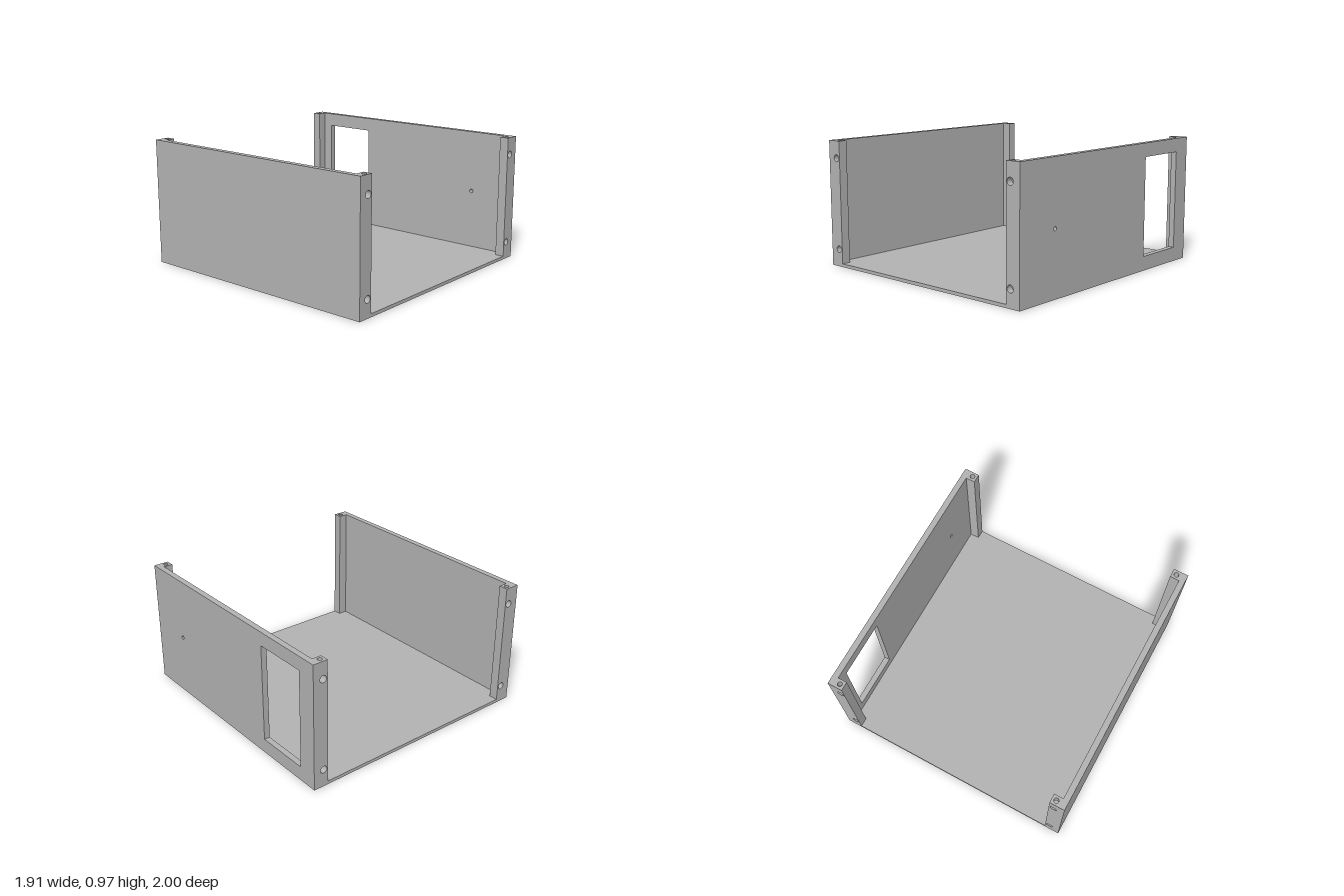
import * as THREE from 'three';
import { mergeGeometries } from 'three/addons/utils/BufferGeometryUtils.js';

const H = 0.97;            // overall height
const X_OUT = 0.955;       // outer face of the side walls
const X_IN = 0.91;         // inner face of the side walls
const X_POST = 0.838;      // inner face of the corner posts
const POST_D = 0.07;       // post depth along z
const FLOOR_T = 0.025;

// Rectangle shape or hole outline from two corners
function rect(Type, x0, y0, x1, y1) {
  const p = new Type();
  p.moveTo(x0, y0).lineTo(x1, y0).lineTo(x1, y1).lineTo(x0, y1).closePath();
  return p;
}

function circle(x, y, r) {
  return new THREE.Path().absarc(x, y, r, 0, Math.PI * 2, true);
}

// Flat face facing +z with blind bores [x, y, radius, depth] sunk into it
function drilledFace(w, h, bores) {
  const shape = rect(THREE.Shape, -w / 2, -h / 2, w / 2, h / 2);
  const parts = [];
  for (const [x, y, r, depth] of bores) {
    shape.holes.push(circle(x, y, r));
    parts.push(
      new THREE.CylinderGeometry(r, r, depth, 24, 1, true).rotateX(Math.PI / 2).translate(x, y, -depth / 2),
      new THREE.CircleGeometry(r, 24).translate(x, y, -depth)
    );
  }
  return mergeGeometries([new THREE.ShapeGeometry(shape, 12), ...parts]);
}

// Corner post with screw bores in its outer end, top and bottom
function postGeometry() {
  const w = X_IN - X_POST;
  const end = [[0, 0.838 - H / 2, 0.027, 0.05], [0, 0.135 - H / 2, 0.027, 0.05]];
  const cap = [[0, 0, 0.018, 0.08]];
  return mergeGeometries([
    drilledFace(w, H, end).translate(0, 0, POST_D / 2),
    drilledFace(w, H, []).rotateY(Math.PI).translate(0, 0, -POST_D / 2),
    drilledFace(POST_D, H, []).rotateY(Math.PI / 2).translate(w / 2, 0, 0),
    drilledFace(POST_D, H, []).rotateY(-Math.PI / 2).translate(-w / 2, 0, 0),
    drilledFace(w, POST_D, cap).rotateX(-Math.PI / 2).translate(0, H / 2, 0),
    drilledFace(w, POST_D, cap).rotateX(Math.PI / 2).translate(0, -H / 2, 0),
  ]);
}

// Side wall from x = 0 outwards; shape x runs along -z
function wallGeometry(holes) {
  const shape = rect(THREE.Shape, -1, 0, 1, H);
  shape.holes.push(...holes);
  return new THREE.ExtrudeGeometry(shape, { depth: X_OUT - X_IN, bevelEnabled: false, curveSegments: 12 })
    .rotateY(Math.PI / 2);
}

// Floor plate notched around the corner posts
function floorGeometry() {
  const z = 1 - POST_D;
  const quarter = [[X_IN, z], [X_POST, z], [X_POST, 1]];
  const flip = (sx, sy) => quarter.map(([x, y]) => new THREE.Vector2(sx * x, sy * y));
  const shape = new THREE.Shape([
    ...flip(1, 1), ...flip(-1, 1).reverse(), ...flip(-1, -1), ...flip(1, -1).reverse(),
  ]);
  return new THREE.ExtrudeGeometry(shape, { depth: FLOOR_T, bevelEnabled: false }).rotateX(-Math.PI / 2);
}

export function createModel() {
  const model = new THREE.Group();
  model.name = 'enclosureBase';
  const grey = new THREE.MeshStandardMaterial({ color: 0xb3b3b3, side: THREE.DoubleSide });
  grey.name = 'grey';

  const add = (name, geometry, x = 0, y = 0, z = 0) => {
    const mesh = new THREE.Mesh(geometry, grey);
    mesh.name = name;
    mesh.position.set(x, y, z);
    model.add(mesh);
    return mesh;
  };

  add('floor', floorGeometry());

  // Left wall has a rectangular cut-out and a small pin hole; right wall is plain
  add('leftWall', wallGeometry([
    rect(THREE.Path, 0.425, 0.11, 0.85, 0.865),
    circle(-0.64, 0.487, 0.015),
  ]), X_IN);
  add('rightWall', wallGeometry([]), -X_OUT);

  // Four corner posts, bores facing outwards
  const post = postGeometry();
  for (const sx of [1, -1]) {
    for (const sz of [1, -1]) {
      const name = (sz > 0 ? 'front' : 'back') + (sx > 0 ? 'Left' : 'Right') + 'Post';
      const mesh = add(name, post, sx * (X_POST + X_IN) / 2, H / 2, sz * (1 - POST_D / 2));
      if (sz < 0) mesh.rotation.y = Math.PI;
    }
  }
  return model;
}
